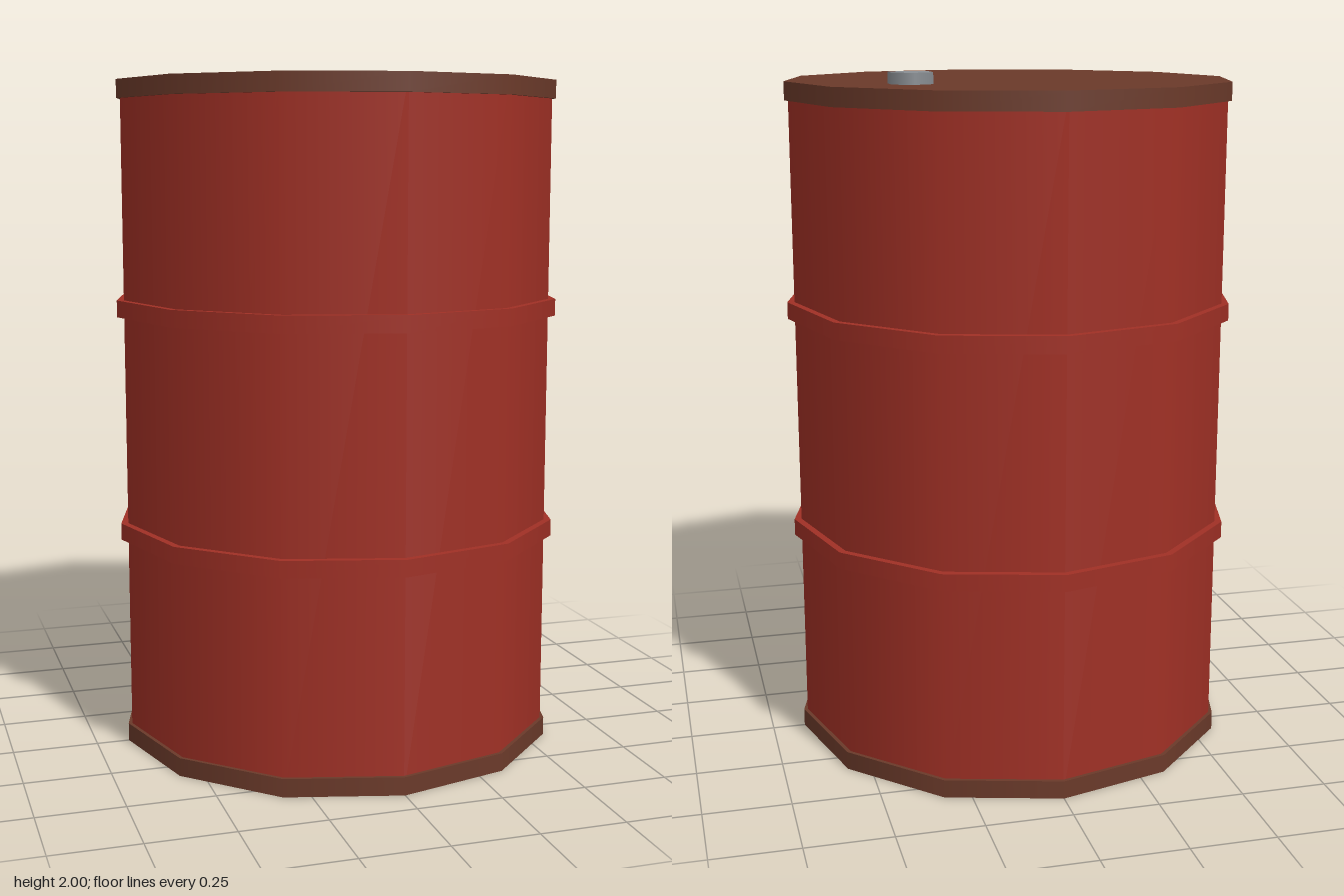
import * as THREE from 'three';

const SIDES = 12;

export function createModel() {
  const red = new THREE.MeshStandardMaterial({ color: 0xa03025 });
  red.name = 'red paint';
  const rust = new THREE.MeshStandardMaterial({ color: 0x6b3a2a });
  rust.name = 'rusty brown';
  const steel = new THREE.MeshStandardMaterial({ color: 0x8a8f94 });
  steel.name = 'grey steel';

  const drum = new THREE.Group();
  drum.name = 'drum';

  // Upright prism spanning y0..y1
  const addDisc = (name, radius, y0, y1, material, sides = SIDES) => {
    const geometry = new THREE.CylinderGeometry(radius, radius, y1 - y0, sides);
    const mesh = new THREE.Mesh(geometry, material);
    mesh.name = name;
    mesh.position.y = (y0 + y1) / 2;
    drum.add(mesh);
    return mesh;
  };

  // Barrel wall
  addDisc('body', 0.643, 0.005, 1.96, red);

  // End rims with their lids
  addDisc('bottomRim', 0.654, 0, 0.053, rust);
  addDisc('topRim', 0.654, 1.915, 1.968, rust);

  // Raised hoops round the wall
  addDisc('lowerHoop', 0.664, 0.624, 0.673, red);
  addDisc('upperHoop', 0.664, 1.287, 1.336, red);

  // Hexagonal filler plug on the lid
  const plug = addDisc('fillerPlug', 0.066, 1.96, 2, steel, 6);
  plug.position.x = 0.332;
  plug.position.z = -0.225;

  return drum;
}
